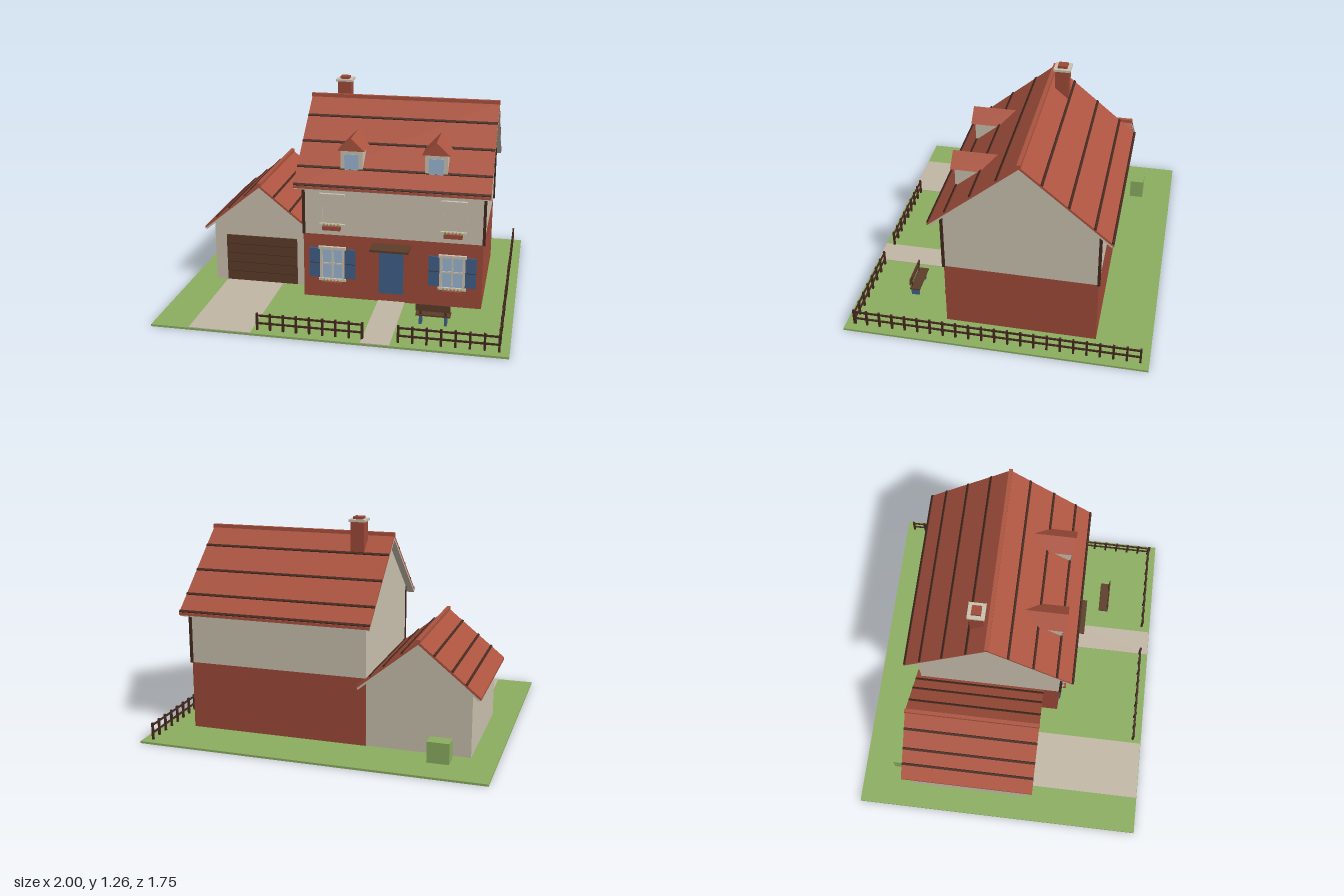
import * as THREE from 'three';

const mat = (name, color) => {
  const m = new THREE.MeshStandardMaterial({ color });
  m.name = name;
  return m;
};

export function createModel() {
  const brick = mat('brick', 0x9e4a38), tile = mat('roof tile', 0xac5440);
  const cream = mat('cream render', 0xcbc2b0), grass = mat('grass', 0x8cae61);
  const paving = mat('paving', 0xc2b7a5), wood = mat('brown wood', 0x5c3d29);
  const dark = mat('dark wood', 0x44291f), blue = mat('blue paint', 0x40608a);
  const glass = mat('glass', 0x9bb8d4), blossom = mat('blossom', 0xd08a94);

  const model = new THREE.Group();
  model.name = 'house';
  const group = (name, parent = model) => {
    const g = new THREE.Group();
    g.name = name;
    parent.add(g);
    return g;
  };
  const add = (parent, name, geo, m) => {
    const mesh = new THREE.Mesh(geo, m);
    mesh.name = name;
    parent.add(mesh);
    return mesh;
  };
  // box given by its limits on each axis
  const box = (parent, name, m, x0, x1, y0, y1, z0, z1) => {
    const mesh = add(parent, name, new THREE.BoxGeometry(x1 - x0, y1 - y0, z1 - z0), m);
    mesh.position.set((x0 + x1) / 2, (y0 + y1) / 2, (z0 + z1) / 2);
    return mesh;
  };
  // profile in x and y, extruded from z0 to z1
  const prism = (parent, name, m, points, z0, z1) => {
    const shape = new THREE.Shape(points.map(([x, y]) => new THREE.Vector2(x, y)));
    const geo = new THREE.ExtrudeGeometry(shape, { depth: z1 - z0, bevelEnabled: false });
    return add(parent, name, geo.translate(0, 0, z0), m);
  };

  // pitched roof centred on x = 0: tiles, cream lining, dark battens and ridge cap
  const pitchedRoof = (parent, w, ridge, eave, z0, z1, battens) => {
    const layer = (name, m, drop, t, half) => {
      const e = ridge - (ridge - eave) * half / w;
      prism(parent, name, m, [[-half, e - drop - t], [0, ridge - drop - t], [half, e - drop - t],
        [half, e - drop], [0, ridge - drop], [-half, e - drop]], z0, z1);
    };
    layer('roofTiles', tile, 0, 0.016, w);
    layer('roofLining', cream, 0.016, 0.014, w - 0.008);
    const angle = Math.atan2(ridge - eave, w);
    for (const s of [-1, 1]) for (const d of battens) {
      const b = box(parent, 'roofBatten', dark, -0.007, 0.007, -0.004, 0.004, z0, z1);
      b.position.x = s * d;
      b.position.y = ridge - (ridge - eave) * d / w + 0.002;
      b.rotation.z = -s * angle;
    }
    box(parent, 'ridgeCap', tile, -0.011, 0.011, ridge - 0.012, ridge + 0.012, z0 - 0.003, z1 + 0.003);
  };

  // garden
  const garden = group('garden');
  box(garden, 'lawn', grass, -1, 1, 0, 0.012, -0.875, 0.875);
  box(garden, 'driveway', paving, -0.777, -0.42, 0.01, 0.016, 0.17, 0.873);
  box(garden, 'path', paving, 0.2, 0.36, 0.01, 0.016, 0.31, 0.873);
  box(garden, 'hedge', grass, -0.755, -0.63, 0.01, 0.132, -0.69, -0.605);

  // main house: local x runs along depth, extruded along the width
  const shell = group('mainHouse');
  box(shell, 'lowerWalls', brick, -0.25, 0.81, 0.005, 0.41, -0.56, 0.31);
  const upper = group('upperHouse', shell);
  upper.rotation.y = Math.PI / 2;
  upper.position.z = -0.125;
  prism(upper, 'upperWalls', cream, [[-0.435, 0.41], [0.435, 0.41], [0.435, 0.762],
    [0, 1.128], [-0.435, 0.762]], -0.25, 0.81);
  pitchedRoof(upper, 0.508, 1.15, 0.725, -0.29, 0.845, [0.12, 0.265, 0.405, 0.502]);
  for (const [x, z] of [[-0.247, 0.311], [0.812, 0.311], [0.812, -0.561]]) {
    box(shell, 'cornerPost', dark, x - 0.008, x + 0.008, 0.41, 0.75, z - 0.008, z + 0.008);
  }

  // chimney
  const chimney = group('chimney');
  box(chimney, 'chimneyStack', brick, -0.14, -0.06, 0.95, 1.235, -0.24, -0.16);
  box(chimney, 'chimneyCap', cream, -0.15, -0.05, 1.232, 1.245, -0.25, -0.15);
  box(chimney, 'chimneyPot', brick, -0.128, -0.072, 1.245, 1.26, -0.228, -0.172);

  // dormers
  for (const x of [0.035, 0.525]) {
    const d = group('dormer');
    d.position.x = x;
    box(d, 'dormerWalls', cream, -0.065, 0.065, 0.805, 0.927, 0.06, 0.285);
    box(d, 'dormerWindow', glass, -0.042, 0.042, 0.81, 0.9, 0.283, 0.289);
    prism(d, 'dormerRoof', tile, [[-0.08, 0.925], [0.08, 0.925], [0, 1.0]], 0.01, 0.307);
  }

  // flower box with small plants
  const flowerBox = (parent, y) => {
    box(parent, 'flowerBox', brick, -0.053, 0.053, y, y + 0.024, 0.31, 0.35);
    for (let i = 0; i < 5; i++) {
      const plant = add(parent, 'plant', new THREE.IcosahedronGeometry(0.011, 0), i % 2 ? blossom : grass);
      plant.position.set((i - 2) * 0.021, y + 0.028, 0.33);
    }
  };

  // front windows on both floors
  for (const x of [-0.075, 0.637]) {
    const w = group('groundWindow');
    w.position.x = x;
    box(w, 'windowPane', glass, -0.068, 0.068, 0.13, 0.33, 0.308, 0.315);
    for (const s of [-1, 1]) {
      box(w, 'windowSideFrame', cream, s * 0.067 - 0.008, s * 0.067 + 0.008, 0.125, 0.335, 0.31, 0.322);
      box(w, 'shutter', blue, s * 0.107 - 0.032, s * 0.107 + 0.032, 0.14, 0.325, 0.309, 0.32);
      box(w, 'shutterRail', dark, s * 0.107 - 0.03, s * 0.107 + 0.03, 0.231, 0.234, 0.318, 0.321);
    }
    box(w, 'windowHead', cream, -0.082, 0.082, 0.322, 0.338, 0.31, 0.328);
    box(w, 'windowSill', cream, -0.082, 0.082, 0.122, 0.137, 0.31, 0.328);
    box(w, 'windowBar', cream, -0.065, 0.065, 0.226, 0.236, 0.31, 0.32);
    box(w, 'windowMullion', cream, -0.005, 0.005, 0.13, 0.33, 0.31, 0.32);
    flowerBox(w, 0.1);

    const u = group('upperWindow');
    u.position.x = x;
    box(u, 'upperWindowHead', cream, -0.075, 0.075, 0.652, 0.667, 0.305, 0.33);
    for (const s of [-1, 1]) {
      box(u, 'upperWindowFrame', cream, s * 0.067 - 0.007, s * 0.067 + 0.007, 0.465, 0.655, 0.305, 0.314);
    }
    box(u, 'upperWindowSill', cream, -0.075, 0.075, 0.468, 0.483, 0.305, 0.328);
    flowerBox(u, 0.45);
  }

  // front door and canopy
  const entrance = group('entrance');
  box(entrance, 'frontDoor', blue, 0.205, 0.35, 0.065, 0.355, 0.308, 0.317);
  box(entrance, 'doorCanopy', wood, 0.165, 0.393, 0.365, 0.378, 0.31, 0.425);

  // garage
  const garage = group('garage');
  garage.position.x = -0.55;
  prism(garage, 'garageWalls', cream, [[-0.3, 0.005], [0.3, 0.005], [0.3, 0.388],
    [0, 0.638], [-0.3, 0.388]], -0.555, 0.17);
  pitchedRoof(garage, 0.35, 0.655, 0.372, -0.59, 0.21, [0.09, 0.19, 0.27]);
  box(garage, 'garageDoor', wood, -0.226, 0.222, 0.016, 0.312, 0.168, 0.177);
  for (let i = 1; i < 5; i++) {
    box(garage, 'garageDoorGroove', dark, -0.226, 0.222, 0.014 + i * 0.06, 0.017 + i * 0.06, 0.175, 0.179);
  }

  // bench
  const bench = group('bench');
  box(bench, 'benchSeat', wood, 0.46, 0.657, 0.064, 0.073, 0.517, 0.577);
  box(bench, 'benchBack', wood, 0.46, 0.657, 0.095, 0.135, 0.571, 0.577);
  for (const x of [0.488, 0.63]) {
    box(bench, 'benchLeg', blue, x - 0.008, x + 0.008, 0.01, 0.065, 0.528, 0.575);
    box(bench, 'benchBackPost', dark, x - 0.005, x + 0.005, 0.07, 0.13, 0.568, 0.573);
  }

  // fence runs built along x, then placed
  const fence = (x, z, length, turn) => {
    const f = group('fence');
    f.position.set(x, 0, z);
    f.rotation.y = turn;
    const n = Math.round(length / 0.075);
    for (let i = 0; i <= n; i++) {
      const p = length * i / n;
      box(f, 'fencePost', dark, p - 0.006, p + 0.006, 0.01, 0.112, -0.006, 0.006);
    }
    for (const y of [0.052, 0.098]) box(f, 'fenceRail', dark, 0, length, y - 0.005, y + 0.005, -0.004, 0.004);
  };
  fence(-0.393, 0.82, 0.595, 0);
  fence(0.4, 0.82, 0.545, 0);
  fence(0.945, 0.825, 1.65, Math.PI / 2);

  return model;
}
